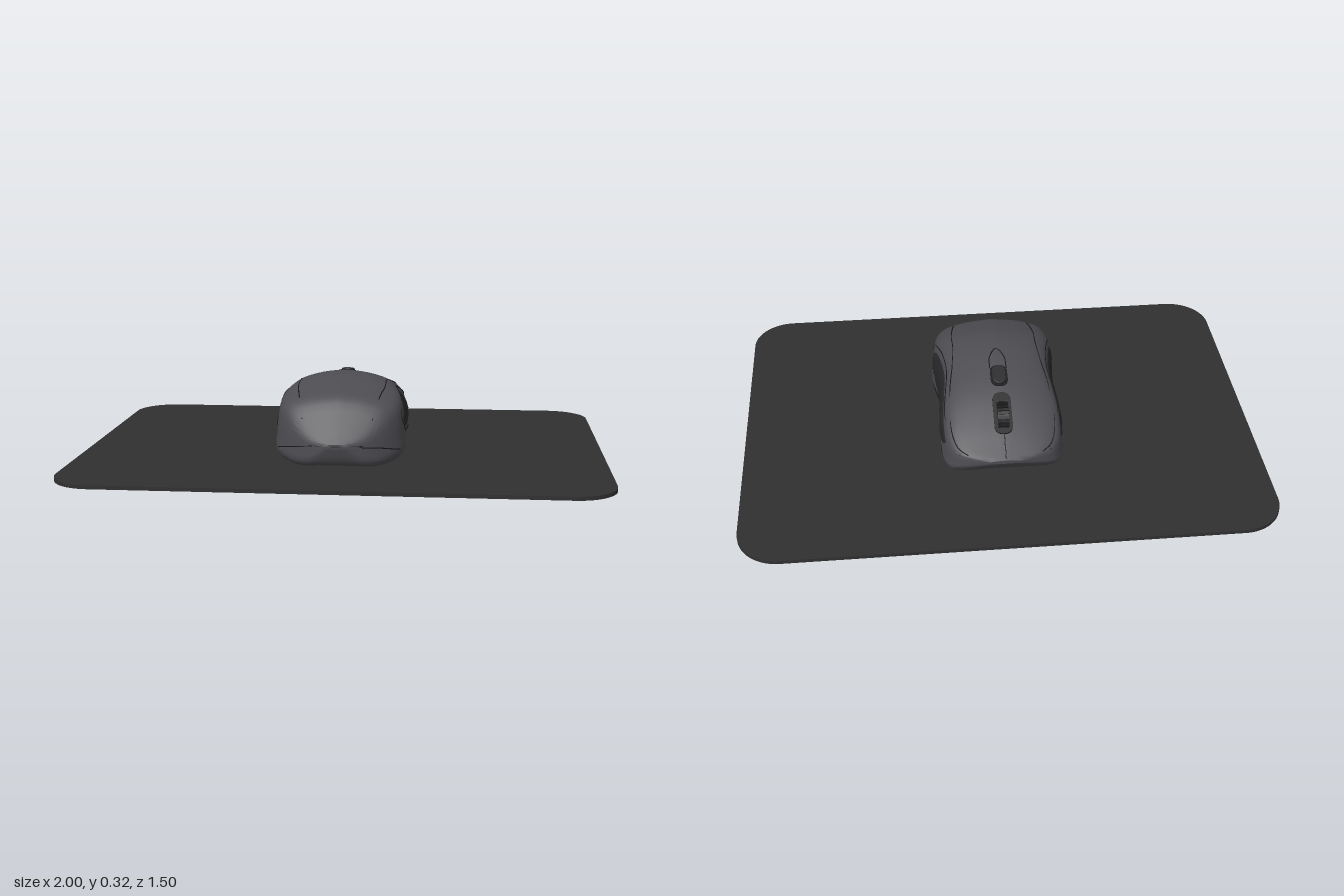
import * as THREE from 'three';
import { toCreasedNormals } from 'three/addons/utils/BufferGeometryUtils.js';

// Smooth interpolation through [z, value] pairs
function sample(table, z) {
  const n = table.length - 1;
  if (z <= table[0][0]) return table[0][1];
  if (z >= table[n][0]) return table[n][1];
  let i = 0;
  while (z > table[i + 1][0]) i++;
  const slope = (k) => {
    const a = table[Math.max(k - 1, 0)], b = table[Math.min(k + 1, n)];
    return (b[1] - a[1]) / (b[0] - a[0]);
  };
  const [z0, y0] = table[i], [z1, y1] = table[i + 1];
  const h = z1 - z0, t = (z - z0) / h, t2 = t * t, t3 = t2 * t;
  return y0 * (2 * t3 - 3 * t2 + 1) + slope(i) * h * (t3 - 2 * t2 + t)
    + y1 * (3 * t2 - 2 * t3) + slope(i + 1) * h * (t3 - t2);
}

// Body half-width, top and underside along z
const WIDTH = [[-0.4, 0.06], [-0.385, 0.125], [-0.36, 0.185], [-0.3, 0.225], [-0.2, 0.235], [-0.1, 0.228],
  [0, 0.22], [0.1, 0.23], [0.2, 0.246], [0.3, 0.236], [0.36, 0.2], [0.4, 0.158], [0.43, 0.105], [0.45, 0.04]];
const TOP = [[-0.4, 0.115], [-0.37, 0.137], [-0.3, 0.187], [-0.2, 0.245], [-0.13, 0.276], [-0.05, 0.301],
  [0.05, 0.321], [0.15, 0.319], [0.25, 0.293], [0.34, 0.258], [0.39, 0.192], [0.43, 0.135], [0.45, 0.108]];
const BOTTOM = [[-0.4, 0.1], [-0.385, 0.08], [-0.34, 0.03], [-0.3, 0.014], [0, 0.013], [0.36, 0.014],
  [0.41, 0.022], [0.435, 0.045], [0.45, 0.09]];

// Half cross-section: fraction of width, fraction of height
const HALF = new THREE.CatmullRomCurve3(
  [[0, 0], [0.4, 0], [0.8, 0], [0.95, 0.08], [1, 0.17], [0.985, 0.35], [0.96, 0.6], [0.91, 0.77],
    [0.78, 0.87], [0.42, 0.96], [0, 1]].map(([u, v]) => new THREE.Vector3(u, v, 0)), false, 'centripetal')
  .getPoints(32);
const RING = [...HALF, ...HALF.slice(0, -1).reverse().map((p) => new THREE.Vector3(-p.x, p.y, 0))];

// Points on the shell: side surface at a height, top surface at an x
function sideX(z, y) {
  const b = sample(BOTTOM, z), v = THREE.MathUtils.clamp((y - b) / (sample(TOP, z) - b), 0.02, 0.98);
  let i = 4;
  while (i < HALF.length - 2 && HALF[i + 1].y < v) i++;
  const p = HALF[i], q = HALF[i + 1];
  return sample(WIDTH, z) * THREE.MathUtils.lerp(p.x, q.x, (v - p.y) / (q.y - p.y));
}
function topY(z, x) {
  const b = sample(BOTTOM, z), u = Math.min(Math.abs(x) / sample(WIDTH, z), 0.95);
  let i = HALF.length - 2;
  while (HALF[i].x < u) i--;
  const p = HALF[i], q = HALF[i + 1];
  return b + (sample(TOP, z) - b) * THREE.MathUtils.lerp(p.y, q.y, (u - p.x) / (q.x - p.x));
}

// Surface grid from a point function
function grid(ni, nj, fn, flip = false) {
  const pos = [], idx = [];
  for (let i = 0; i <= ni; i++) for (let j = 0; j <= nj; j++) pos.push(...fn(i, j));
  for (let i = 0; i < ni; i++) for (let j = 0; j < nj; j++) {
    const a = i * (nj + 1) + j, b = a + 1, c = a + nj + 1, d = c + 1;
    idx.push(...(flip ? [a, c, b, b, c, d] : [a, b, c, b, d, c]));
  }
  const g = new THREE.BufferGeometry();
  g.setAttribute('position', new THREE.Float32BufferAttribute(pos, 3));
  g.setIndex(idx);
  g.computeVertexNormals();
  return g;
}

// Flat rounded plate lying in the xz plane, base at y = 0
function plate(w, d, r, h, bevel = 0) {
  const s = new THREE.Shape(), x = w / 2 - r, y = d / 2 - r;
  s.absarc(x, y, r, 0, Math.PI / 2);
  s.absarc(-x, y, r, Math.PI / 2, Math.PI);
  s.absarc(-x, -y, r, Math.PI, Math.PI * 1.5);
  s.absarc(x, -y, r, Math.PI * 1.5, Math.PI * 2);
  return new THREE.ExtrudeGeometry(s, {
    depth: h, curveSegments: 10, bevelEnabled: bevel > 0, bevelSize: bevel, bevelThickness: bevel, bevelOffset: -bevel, bevelSegments: 2,
  }).rotateX(-Math.PI / 2);
}

export function createModel() {
  const mat = (name, color) => Object.assign(new THREE.MeshStandardMaterial({ color }), { name });
  const padMat = mat('pad cloth', 0x303030);
  const shellMat = mat('shell grey', 0x4d4c51);
  const gripMat = mat('grip rubber', 0x29292b);
  const darkMat = mat('dark trim', 0x18181a);

  const model = new THREE.Group();
  const mouse = new THREE.Group();
  mouse.name = 'mouse';
  const add = (name, geometry, material, parent = mouse) => {
    const m = new THREE.Mesh(geometry, material);
    m.name = name;
    parent.add(m);
    return m;
  };

  // Mouse pad
  add('mousePad', plate(2, 1.5, 0.16, 0.014), padMat, model);
  model.add(mouse);

  // Shell lofted along z, both ends closed to a point
  const N = 46;
  const shell = grid(N + 2, RING.length - 1, (i, j) => {
    const k = THREE.MathUtils.clamp((i - 1) / N, 0, 1);
    const z = 0.025 - 0.425 * Math.cos(Math.PI * k);
    const b = sample(BOTTOM, z), t = sample(TOP, z);
    if (i === 0 || i === N + 2) return [0, (b + t) / 2, z];
    return [RING[j].x * sample(WIDTH, z), b + RING[j].y * (t - b), z];
  });
  add('shell', toCreasedNormals(shell, 0.6), shellMat);

  // Seam lines following the shell
  const seam = (name, pts) => add(name, new THREE.TubeGeometry(
    new THREE.CatmullRomCurve3(pts.map((p) => new THREE.Vector3(...p))), 60, 0.0022, 5), darkMat);
  const gripTop = [[-0.29, 0.128], [-0.2, 0.168], [-0.1, 0.208], [0, 0.235], [0.1, 0.24], [0.17, 0.228], [0.25, 0.165]];
  const gripLow = [[-0.29, 0.122], [-0.24, 0.085], [-0.15, 0.062], [0, 0.062], [0.1, 0.075], [0.18, 0.11], [0.25, 0.155]];
  const topSeam = [[-0.37, 0.14], [-0.34, 0.175], [-0.28, 0.196], [-0.1, 0.19], [0, 0.175], [0.1, 0.165], [0.2, 0.165], [0.3, 0.15], [0.38, 0.13]];
  const baseSeam = [[-0.36, 0.062], [-0.25, 0.045], [0, 0.042], [0.2, 0.05], [0.33, 0.07], [0.4, 0.088], [0.435, 0.096]];
  const archSeam = [[-0.36, 0.12], [-0.2, 0.185], [-0.1, 0.222], [0, 0.25], [0.1, 0.258], [0.18, 0.243], [0.27, 0.18], [0.21, 0.12], [0.13, 0.062]];

  for (const s of [1, -1]) {
    const side = s > 0 ? 'left' : 'right';
    const onSide = ([z, y]) => [s * sideX(z, y), y, z];
    seam(side + 'ButtonSeam', topSeam.map(([z, x]) => [s * x, topY(z, x), z]));
    seam(side + 'BaseSeam', baseSeam.map(onSide));
    seam(side + 'GripFrame', archSeam.map(onSide));

    // Textured rubber grip bulging from the side
    const gi = 54, gj = 18;
    add(side + 'Grip', grid(gi, gj, (i, j) => {
      const z = -0.29 + 0.54 * i / gi;
      const y = THREE.MathUtils.lerp(sample(gripLow, z), sample(gripTop, z), j / gj);
      const dome = Math.sqrt(Math.max(0, Math.sin(Math.PI * i / gi) * Math.sin(Math.PI * j / gj)));
      const bump = 0.003 * Math.sin(z * 150 + 2 * Math.sin(y * 130)) * Math.sin(y * 170 + 2 * Math.sin(z * 70));
      return [s * (sideX(z, y) - 0.004 + dome * (0.015 + bump)), y, z];
    }, s < 0), gripMat);
  }
  seam('backBaseSeam', [-0.1, -0.05, 0, 0.05, 0.1].map((x) => [x, 0.1, 0.449 - 2 * x * x]));
  seam('buttonSplit', [-0.395, -0.37, -0.34, -0.31].map((z) => [0, sample(TOP, z), z]));
  seam('spineMark', [[-0.032, -0.06], [-0.028, 0], [0, 0.04], [0.028, 0], [0.032, -0.06]]
    .map(([x, z]) => [x, topY(z, x), z]));

  // Wheel slot and ribbed scroll wheel
  const slot = add('wheelSlot', plate(0.07, 0.17, 0.03, 0.012), darkMat);
  slot.position.set(0, 0.213, -0.24);
  slot.rotation.x = -0.5;
  const wheel = new THREE.Group();
  wheel.name = 'scrollWheel';
  wheel.position.set(0, 0.198, -0.24);
  mouse.add(wheel);
  add('wheelTyre', new THREE.CylinderGeometry(0.056, 0.056, 0.042, 32).rotateZ(Math.PI / 2), gripMat, wheel);
  for (let i = 0; i < 28; i++) {
    const rib = add('wheelRib', new THREE.BoxGeometry(0.042, 0.01, 0.006).translate(0, 0.056, 0), darkMat, wheel);
    rib.rotation.x = i / 28 * Math.PI * 2;
  }

  // Small button behind the wheel
  const rim = add('speedButtonRim', plate(0.066, 0.098, 0.03, 0.006), darkMat);
  rim.position.set(0, 0.284, -0.094);
  rim.rotation.x = -0.33;
  const button = add('speedButton', plate(0.052, 0.084, 0.024, 0.01, 0.003), gripMat);
  button.position.set(0, 0.287, -0.094);
  button.rotation.x = -0.33;

  return model;
}
